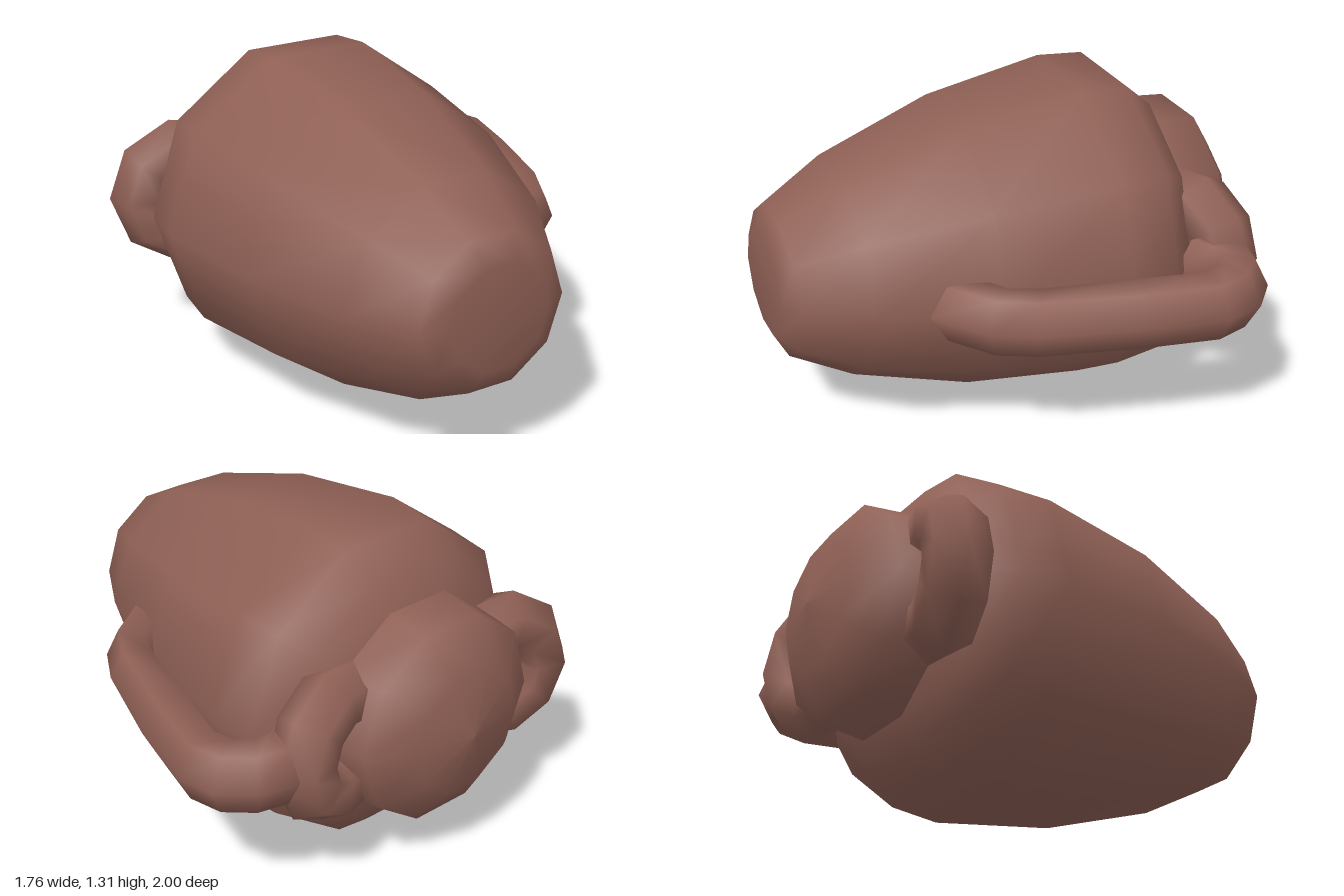
import * as THREE from 'three';

const clay = new THREE.MeshStandardMaterial({ color: 0x8f6055 });
clay.name = 'terracotta';
const CX = -0.135, CY = 0.655; // axis of the lying jug

function mesh(name, geometry) {
  const m = new THREE.Mesh(geometry, clay);
  m.name = name;
  return m;
}

// Ten-sided turned shape along z, from [radius, z] pairs with rising z
function turned(profile) {
  const points = profile.map(([r, z]) => new THREE.Vector2(r, z));
  return new THREE.LatheGeometry(points, 10, Math.PI / 2).rotateX(Math.PI / 2);
}

// Six-sided tube through rings { c: centre, a: outward radius, b: side radius }
function sweep(rings) {
  const n = 6, pos = [], idx = [];
  for (const { c, a, b } of rings) {
    for (let j = 0; j < n; j++) {
      const t = (j / n) * Math.PI * 2;
      const p = c.clone().addScaledVector(a, Math.cos(t)).addScaledVector(b, Math.sin(t));
      pos.push(p.x, p.y, p.z);
    }
  }
  const last = (rings.length - 1) * n;
  for (let i = 0; i < last; i += n) {
    for (let j = 0; j < n; j++) {
      const k = (j + 1) % n;
      idx.push(i + j, i + k, i + n + j, i + k, i + n + k, i + n + j);
    }
  }
  // End caps with their own vertices, so the rims stay sharp
  for (const start of [0, last]) {
    const base = pos.length / 3;
    pos.push(...pos.slice(start * 3, (start + n) * 3));
    for (let j = 1; j < n - 1; j++) {
      if (start === 0) idx.push(base, base + j + 1, base + j);
      else idx.push(base, base + j, base + j + 1);
    }
  }
  const g = new THREE.BufferGeometry();
  g.setAttribute('position', new THREE.Float32BufferAttribute(pos, 3));
  g.setIndex(idx);
  g.computeVertexNormals();
  return g;
}

// Large handle: outer and inner edge [x, z] of each ring
function handleGeometry() {
  const edges = [
    [0.385, 0.51, 0.385, 0.23], [0.59, 0.36, 0.46, 0.19], [0.68, 0.2, 0.5, 0.09],
    [0.81, -0.2, 0.575, -0.25], [0.88, -0.51, 0.64, -0.5], [0.84, -0.67, 0.62, -0.56],
    [0.72, -0.78, 0.585, -0.58], [0.57, -0.82, 0.55, -0.575], [0.46, -0.77, 0.46, -0.52],
  ];
  return sweep(edges.map(([ox, oz, ix, iz]) => ({
    c: new THREE.Vector3((ox + ix) / 2, CY, (oz + iz) / 2),
    a: new THREE.Vector3((ox - ix) / 2, 0, (oz - iz) / 2),
    b: new THREE.Vector3(0, -0.137, 0),
  })));
}

// Small side loop on +x, leaning slightly back
function loopGeometry() {
  const r = 0.128, up = new THREE.Vector3(0, 1, 0);
  const out = new THREE.Vector3(0.97, 0, -0.23).normalize();
  const side = up.clone().cross(out).multiplyScalar(r);
  const mid = new THREE.Vector3(0.425, 0, -0.69);
  const rings = [];
  for (let i = -3; i <= 3; i++) {
    const t = i * Math.PI * 0.22;
    const dir = out.clone().multiplyScalar(Math.cos(t)).addScaledVector(up, Math.sin(t));
    rings.push({
      c: mid.clone().addScaledVector(dir, 0.2),
      a: dir.multiplyScalar(r),
      b: side,
    });
  }
  return sweep(rings);
}

export function createModel() {
  const model = new THREE.Group();
  model.name = 'jug';

  const body = mesh('body', turned([
    [0.447, -0.665], [0.555, -0.61], [0.668, -0.49], [0.688, -0.29], [0.612, 0.22],
    [0.455, 0.7], [0.315, 0.95], [0.215, 1], [0, 1],
  ]));
  const lid = mesh('lid', turned([[0, -1], [0.255, -0.96], [0.427, -0.85], [0.449, -0.66]]));
  const leftLoop = mesh('leftLoop', loopGeometry());
  const rightLoop = mesh('rightLoop', loopGeometry());
  rightLoop.rotation.z = Math.PI;
  for (const part of [body, lid, leftLoop, rightLoop]) part.position.set(CX, CY, 0);

  model.add(body, lid, leftLoop, rightLoop, mesh('handle', handleGeometry()));
  return model;
}
